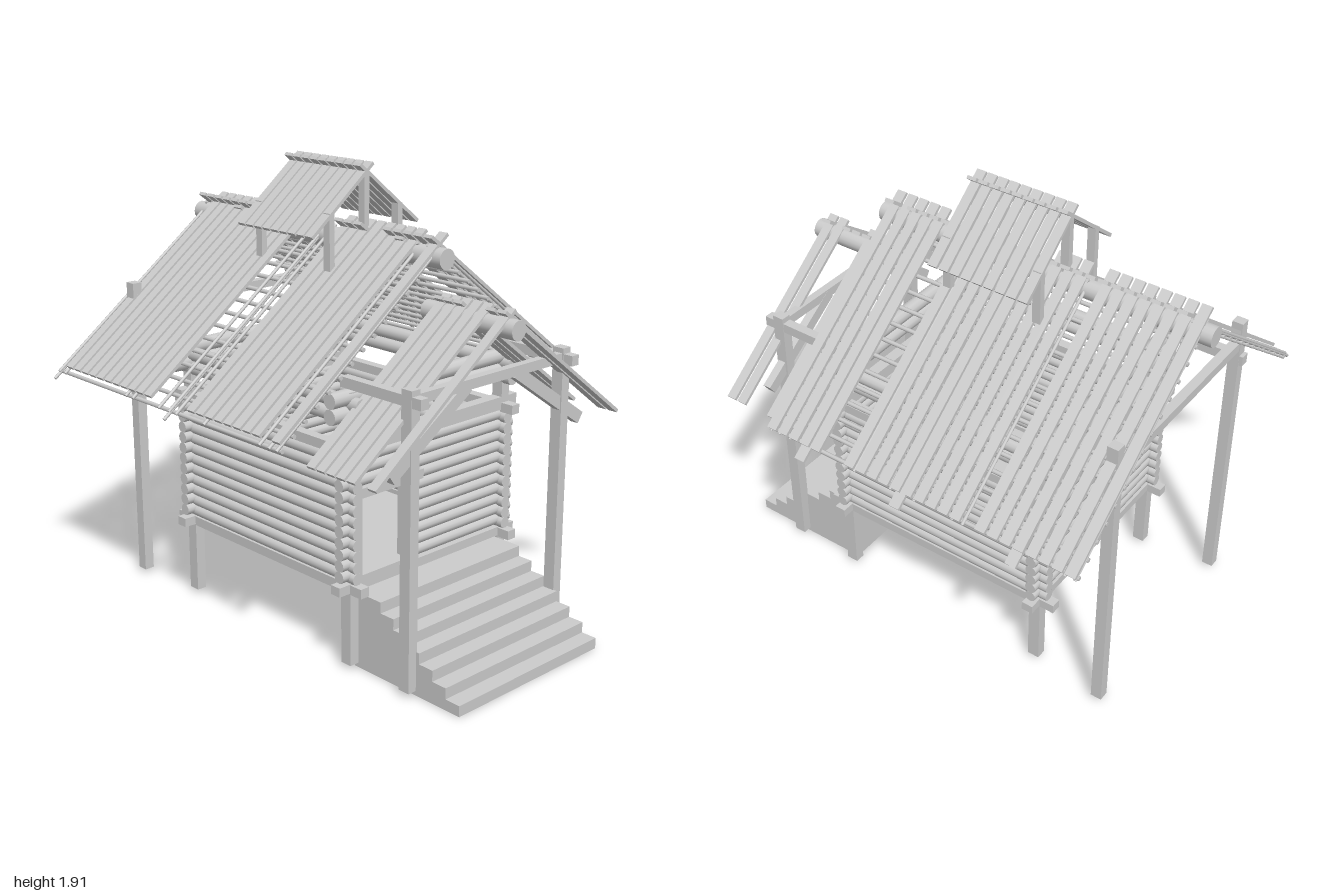
import * as THREE from 'three';

const MAT = new THREE.MeshStandardMaterial({ color: 0xcccccc, side: THREE.DoubleSide });

function add(parent, name, geo, x = 0, y = 0, z = 0) {
  const m = new THREE.Mesh(geo, MAT);
  m.name = name;
  m.position.set(x, y, z);
  parent.add(m);
  return m;
}

// box given by its min/max extents
function box(parent, name, x0, x1, y0, y1, z0, z1) {
  return add(parent, name, new THREE.BoxGeometry(x1 - x0, y1 - y0, z1 - z0),
    (x0 + x1) / 2, (y0 + y1) / 2, (z0 + z1) / 2);
}

// round log along x (from a to b) at height y and depth z
function logX(parent, name, a, b, y, z, r, sides = 12) {
  const g = new THREE.CylinderGeometry(r, r, b - a, sides).rotateZ(Math.PI / 2);
  return add(parent, name, g, (a + b) / 2, y, z);
}

// round log along z
function logZ(parent, name, a, b, y, x, r, sides = 12) {
  const g = new THREE.CylinderGeometry(r, r, b - a, sides).rotateX(Math.PI / 2);
  return add(parent, name, g, x, y, (a + b) / 2);
}

// piece lying on a roof slope: s runs down from the ridge, off is along the normal
function onSlope(parent, name, geo, side, x, ridgeY, angle, s, off) {
  const c = Math.cos(angle), n = Math.sin(angle);
  const m = add(parent, name, geo, x, ridgeY - s * n + off * c, side * (s * c + off * n));
  m.rotation.x = side * angle;
  return m;
}

function plank(parent, name, side, x, ridgeY, angle, s0, s1, w, t) {
  onSlope(parent, name, new THREE.BoxGeometry(w, t, s1 - s0), side, x, ridgeY, angle, (s0 + s1) / 2, -t / 2);
}

function group(root, name) {
  const g = new THREE.Group();
  g.name = name;
  root.add(g);
  return g;
}

const BACK_X = -0.545, DOOR_X = 0.435, WALL_Z = 0.428;

function buildCabin(root) {
  const g = group(root, 'cabin');
  box(g, 'floor', BACK_X, DOOR_X, 0.325, 0.345, -WALL_Z, WALL_Z);

  // stacked log walls, cross walls raised by half a log
  const rows = 11, pitch = 0.0468, r = 0.025;
  for (let i = 0; i < rows; i++) {
    const y = 0.388 + i * pitch;
    logX(g, 'frontWallLog', -0.6, 0.48, y, WALL_Z, r);
    if (y > 0.66 && y < 0.8) {
      logX(g, 'backWallLog', -0.6, 0.07, y, -WALL_Z, r);
      logX(g, 'backWallLog', 0.31, 0.48, y, -WALL_Z, r);
    } else logX(g, 'backWallLog', -0.6, 0.48, y, -WALL_Z, r);

    const yc = y + pitch / 2 - 0.012;
    logZ(g, 'sideWallLog', -0.485, 0.485, yc, BACK_X, r);
    if (yc < 0.72) {
      logZ(g, 'doorWallLog', -0.485, 0.1, yc, DOOR_X, r);
      logZ(g, 'doorWallLog', 0.4, 0.485, yc, DOOR_X, r);
    } else logZ(g, 'doorWallLog', -0.485, 0.485, yc, DOOR_X, r);
  }

  // door frame
  box(g, 'doorJamb', 0.405, 0.465, 0.365, 0.72, 0.095, 0.14);
  box(g, 'doorJamb', 0.405, 0.465, 0.365, 0.72, 0.39, 0.41);
  box(g, 'doorLintel', 0.405, 0.47, 0.71, 0.75, 0.06, 0.41);
  box(g, 'doorSill', 0.405, 0.465, 0.365, 0.39, 0.1, 0.41);

  // window frame with crossbars
  box(g, 'windowSill', 0.04, 0.34, 0.65, 0.672, -0.505, -0.4);
  box(g, 'windowHead', 0.05, 0.33, 0.79, 0.81, -0.465, -0.4);
  for (const x of [0.08, 0.3]) box(g, 'windowJamb', x - 0.013, x + 0.013, 0.67, 0.79, -0.462, -0.4);
  for (const x of [0.153, 0.227]) box(g, 'windowBar', x - 0.006, x + 0.006, 0.67, 0.79, -0.436, -0.42);
  box(g, 'windowBar', 0.08, 0.3, 0.724, 0.736, -0.436, -0.42);

  // sill beams, plates, legs and open eave logs
  for (const s of [-1, 1]) {
    const z = s * WALL_Z;
    box(g, 'sillBeam', -0.635, 0.52, 0.325, 0.365, z - 0.022, z + 0.022);
    box(g, 'topPlate', -0.635, 0.52, 0.88, 0.92, z - 0.022, z + 0.022);
    logX(g, 'eaveLog', -0.62, 0.5, 1.03, z, 0.03);
    logX(g, 'eaveLog', -0.62, 0.5, 1.09, z, 0.03);
  }
  for (const x of [BACK_X, DOOR_X]) {
    box(g, 'sillCrossBeam', x - 0.025, x + 0.025, 0.33, 0.368, -0.505, 0.505);
    box(g, 'topCrossPlate', x - 0.025, x + 0.025, 0.89, 0.945, -0.5, 0.5);
    logZ(g, 'gableLog', -0.53, 0.53, 1.055, x, 0.032);
    logZ(g, 'gableLog', -0.53, 0.53, 1.118, x, 0.032);
    for (const z of [-WALL_Z, WALL_Z]) {
      box(g, 'leg', x - 0.026, x + 0.026, 0.02, 0.34, z - 0.022, z + 0.022);
      box(g, 'cornerPost', x - 0.026, x + 0.026, 0.9, 1.14, z - 0.022, z + 0.022);
    }
  }
}

function buildMainRoof(root) {
  const g = group(root, 'mainRoof');
  const a = Math.atan(0.756), top = 1.65;
  logX(g, 'ridgeLog', -1, 0.52, 1.588, 0, 0.042, 16);

  // planks with a few missing on each side
  const missing = { 1: [0, 12, 13, 14, 15, 24], '-1': [8, 19, 20] };
  for (const side of [1, -1]) {
    for (let i = 0; i < 26; i++) {
      if (missing[side].includes(i)) continue;
      const covered = i >= 12 && i <= 15;
      plank(g, 'roofPlank', side, -0.933 + i * 0.0557, top, a,
        covered ? 0.12 : -0.05, 1.02 + (side < 0 ? 0.02 : 0), 0.043, 0.014);
    }
    // round battens below the planks
    for (let s = 0.1; s < 1.03; s += 0.0715) {
      if (side > 0 && s < 0.14) continue;
      const geo = new THREE.CylinderGeometry(0.009, 0.009, 1.435, 8).rotateZ(Math.PI / 2);
      onSlope(g, 'roofBatten', geo, side, -0.2375, top, a, s, -0.04);
    }
    // pole rafters
    for (const x of [-0.948, -0.905, -0.46, -0.412, -0.237, -0.17, -0.125, 0.05, 0.375, 0.43, 0.472]) {
      const geo = new THREE.CylinderGeometry(0.007, 0.007, 1.05, 8).rotateX(Math.PI / 2);
      onSlope(g, 'poleRafter', geo, side, x, top, a, 0.52, -0.023);
    }
  }
  // long rafters reaching past the eaves
  for (const x of [-0.705, -0.178, 0.287]) {
    const geo = new THREE.BoxGeometry(0.046, 0.014, 1.12);
    onSlope(g, 'longRafter', geo, -1, x, top, a, 0.54, -0.022);
  }
  for (const x of [-0.948, -0.17]) {
    const geo = new THREE.CylinderGeometry(0.007, 0.007, 1.08, 8).rotateX(Math.PI / 2);
    onSlope(g, 'longPole', geo, 1, x, top, a, 0.54, -0.03);
  }
}

function buildSmokeVent(root) {
  const g = group(root, 'smokeVent');
  const a = Math.atan(0.8), top = 1.886;
  for (const side of [1, -1]) {
    for (let i = 0; i < 9; i++) plank(g, 'ventPlank', side, -0.354 + i * 0.0515, top, a, -0.04, 0.378, 0.042, 0.014);
    for (const x of [-0.355, 0.06]) {
      box(g, 'ventPost', x - 0.018, x + 0.018, 1.5, 1.73, side * 0.187 - 0.013, side * 0.187 + 0.013);
    }
  }
  for (const x of [-0.355, 0.06]) box(g, 'ventKingPost', x - 0.018, x + 0.018, 1.6, 1.87, -0.013, 0.013);
}

function buildPorch(root) {
  const g = group(root, 'porch');
  const a = Math.atan(0.746), top = 1.432;
  logX(g, 'porchRidgeLog', 0.42, 0.885, 1.378, 0, 0.04, 16);
  const planks = { 1: [0.503, 0.556, 0.609, 0.662, 0.715, 0.823], '-1': [0.503, 0.551, 0.604, 0.768, 0.823] };
  for (const side of [1, -1]) {
    for (const x of planks[side]) plank(g, 'porchPlank', side, x, top, a, -0.03, 0.858, 0.042, 0.014);
    const z = side * 0.423;
    box(g, 'porchPost', 0.724, 0.776, 0.02, 1.215, z - 0.022, z + 0.022);
    box(g, 'porchBeam', 0.4, 0.82, 1.15, 1.192, z - 0.02, z + 0.02);

    // slanting brace from the post up to the tie beam
    const dz = 0.4, dy = 0.27;
    const brace = add(g, 'porchBrace', new THREE.BoxGeometry(0.036, 0.05, Math.hypot(dz, dy)), 0.752, 1.035, side * 0.335);
    brace.rotation.x = side * Math.atan2(dy, dz);
  }
  box(g, 'porchTie', 0.735, 0.77, 1.155, 1.195, -0.445, 0.445);

  // solid stair block from a stepped profile
  const shape = new THREE.Shape();
  const steps = 7, run = 0.0695, rise = 0.0457;
  shape.moveTo(0.44, 0);
  shape.lineTo(1, 0);
  for (let i = 0; i < steps; i++) {
    shape.lineTo(1 - i * run, (i + 1) * rise);
    shape.lineTo(i === steps - 1 ? 0.44 : 1 - (i + 1) * run, (i + 1) * rise);
  }
  add(g, 'stairs', new THREE.ExtrudeGeometry(shape, { depth: 0.81, bevelEnabled: false }), 0, 0, -0.405);
}

function buildRearFrame(root) {
  const g = group(root, 'rearFrame');
  for (const s of [-1, 1]) {
    const z = s * 0.468;
    box(g, 'tallPost', -0.904, -0.856, 0.02, 1.345, z - 0.022, z + 0.022);
    box(g, 'rearBeam', -0.92, -0.5, 1.145, 1.19, z - 0.02, z + 0.02);
  }
  box(g, 'rearTie', -0.9, -0.86, 1.215, 1.255, -0.5, 0.5);
}

export function createModel() {
  const root = new THREE.Group();
  root.name = 'logCabin';
  buildCabin(root);
  buildMainRoof(root);
  buildSmokeVent(root);
  buildPorch(root);
  buildRearFrame(root);
  return root;
}
